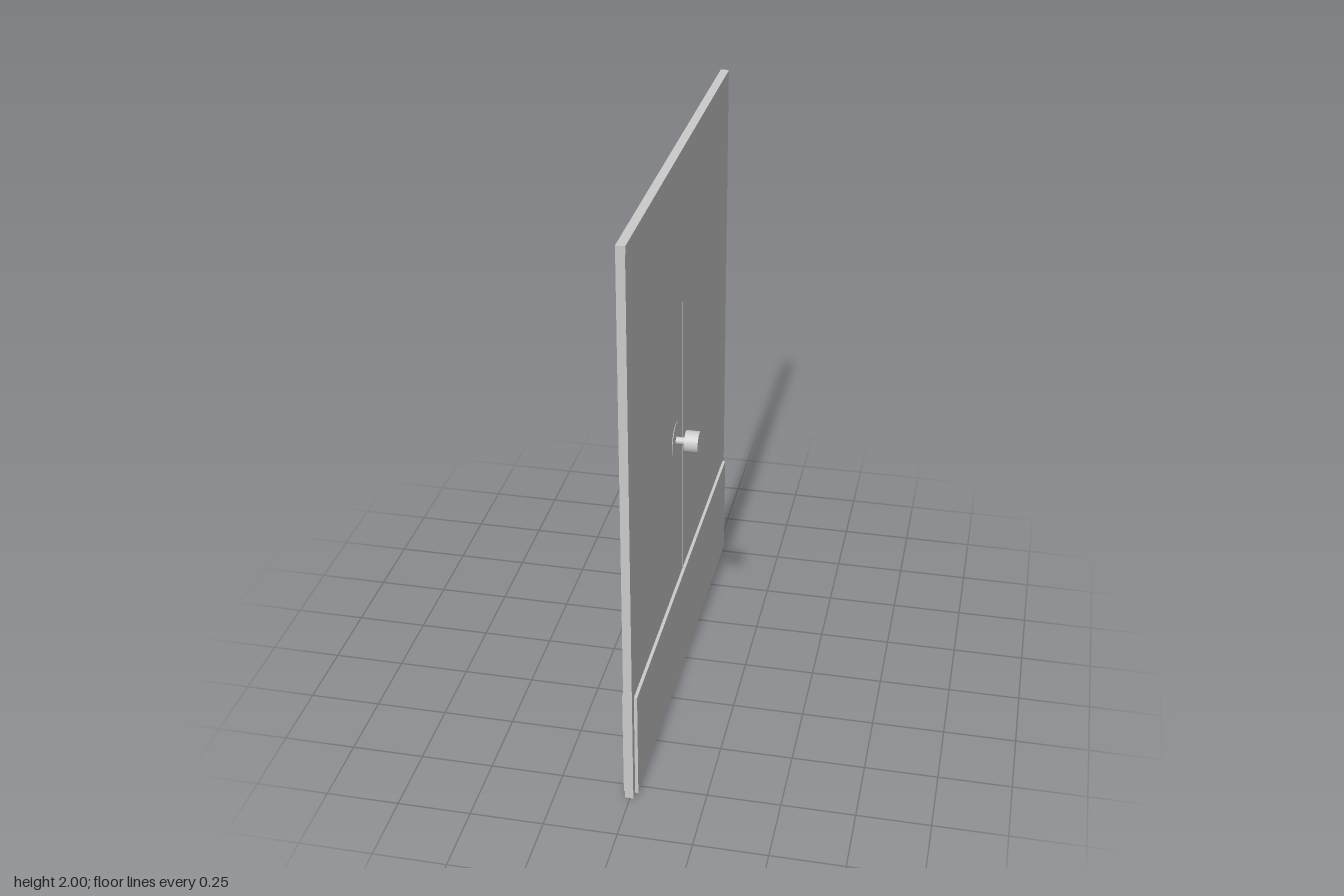
import * as THREE from 'three';

export function createModel() {
  const group = new THREE.Group();
  const mat = new THREE.MeshStandardMaterial({ color: 0xcccccc });

  const add = (name, geometry, x, y, z) => {
    const mesh = new THREE.Mesh(geometry, mat);
    mesh.name = name;
    mesh.position.set(x, y, z);
    group.add(mesh);
    return mesh;
  };
  // box given by its limits on each axis
  const box = (name, [x0, x1], [y0, y1], [z0, z1]) =>
    add(name, new THREE.BoxGeometry(x1 - x0, y1 - y0, z1 - z0),
      (x0 + x1) / 2, (y0 + y1) / 2, (z0 + z1) / 2);
  // cylinder lying along x
  const rod = (name, radius, x0, x1, y, z) =>
    add(name, new THREE.CylinderGeometry(radius, radius, x1 - x0, 40).rotateZ(Math.PI / 2),
      (x0 + x1) / 2, y, z);

  const halfWidth = 0.817, gap = 0.0025, back = -0.017, front = 0.012;

  // header strip closing the top of both leaves
  box('header', [back, front + 0.001], [1.975, 2], [-halfWidth, halfWidth]);

  // two leaves with a narrow gap, each with a kick plate on both faces
  for (const side of [-1, 1]) {
    const span = (end) => side > 0 ? [gap, end] : [-end, -gap];
    box('doorLeaf', [back, front], [0, 1.975], span(halfWidth));
    box('kickPlate', [front, 0.023], [0.003, 0.398], span(0.79));
    box('kickPlate', [-0.027, back], [0.003, 0.398], span(0.79));
  }

  // knob set on one leaf, through both faces
  const knobY = 0.99, knobZ = 0.118;
  rod('rosette', 0.064, back + 0.002, front + 0.002, knobY, knobZ);
  rod('knobStem', 0.013, -0.06, 0.06, knobY, knobZ);
  for (const s of [-1, 1]) {
    const [x0, x1] = s > 0 ? [0.047, 0.095] : [-0.095, -0.047];
    rod('knob', 0.039, x0, x1, knobY, knobZ);
  }
  return group;
}
